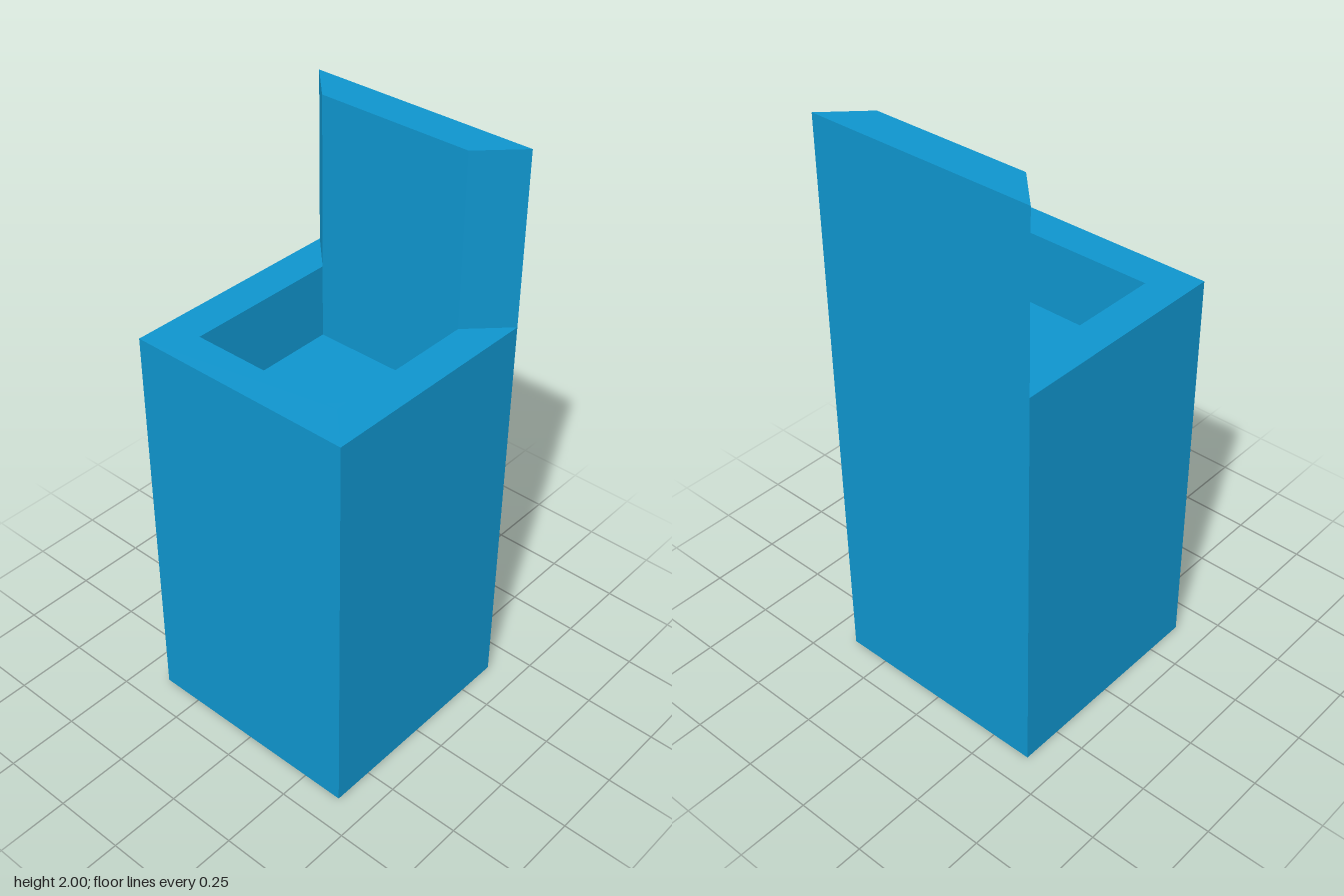
import * as THREE from 'three';

const OUTER = 0.395;   // half width outside
const INNER = 0.27;    // half width of the cavity
const FLOOR = 1.165;   // cavity floor height
const RIM = 1.42;      // height of the front and side walls
const TOP = 2;         // height of the back wall

const material = new THREE.MeshStandardMaterial({ color: 0x0f94cc, flatShading: true });

// Mesh from quads, corners counter-clockwise seen from outside
function quadMesh(name, quads) {
  const points = quads.flatMap(([a, b, c, d]) => [a, b, c, a, c, d]).flat();
  const geometry = new THREE.BufferGeometry();
  geometry.setAttribute('position', new THREE.Float32BufferAttribute(points, 3));
  geometry.computeVertexNormals();
  const mesh = new THREE.Mesh(geometry, material);
  mesh.name = name;
  return mesh;
}

// Horizontal square, facing up or down
function square(name, s, y, up) {
  const corners = [[-s, y, -s], [s, y, -s], [s, y, s], [-s, y, s]];
  return quadMesh(name, [up ? corners.reverse() : corners]);
}

// Wall with mitred ends, facing +z before it is turned into place
function wall(name, height, angle) {
  const o = OUTER, i = INNER, h = height;
  const quads = [
    [[-o, 0, o], [o, 0, o], [o, h, o], [-o, h, o]],          // outside
    [[-o, h, o], [o, h, o], [i, h, i], [-i, h, i]],          // top edge
    [[i, FLOOR, i], [-i, FLOOR, i], [-i, h, i], [i, h, i]],  // inside
  ];
  if (h > RIM) {                                             // exposed mitres
    quads.push([[o, RIM, o], [i, RIM, i], [i, h, i], [o, h, o]]);
    quads.push([[-i, RIM, i], [-o, RIM, o], [-o, h, o], [-i, h, i]]);
  }
  const mesh = quadMesh(name, quads);
  mesh.rotation.y = angle;
  return mesh;
}

export function createModel() {
  const group = new THREE.Group();
  group.name = 'boxWithTallBack';
  group.add(
    wall('frontWall', RIM, 0),
    wall('leftWall', RIM, Math.PI / 2),
    wall('backWall', TOP, Math.PI),
    wall('rightWall', RIM, -Math.PI / 2),
    square('base', OUTER, 0, false),
    square('cavityFloor', INNER, FLOOR, true),
  );
  return group;
}
